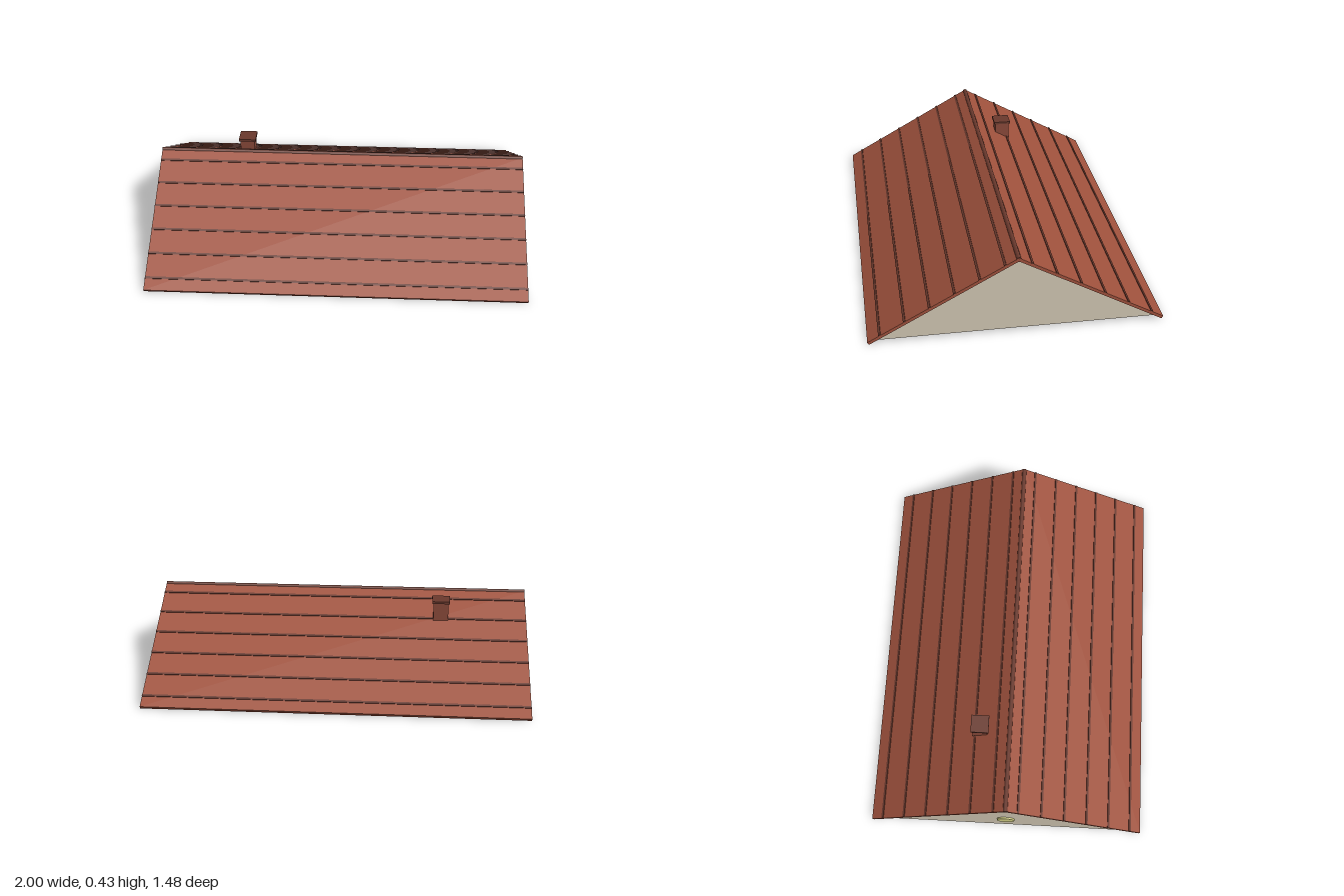
import * as THREE from 'three';

const paint = (color) => new THREE.MeshStandardMaterial({ color });
const tile = paint(0xa0523d);
const trim = paint(0x6b3a2e);
const brick = paint(0x8b4a3a);
const plaster = paint(0xd2c8b4);
const glass = paint(0xd9d58a);

const RIDGE_Y = 0.42, EAVE_Y = 0.007, EAVE_Z = 0.736, THICK = 0.016;
const PITCH = Math.atan2(RIDGE_Y - EAVE_Y, EAVE_Z);
const SLOPE = Math.hypot(RIDGE_Y - EAVE_Y, EAVE_Z);

function add(parent, name, geometry, material, x, y, z) {
  const mesh = new THREE.Mesh(geometry, material);
  mesh.name = name;
  mesh.position.set(x, y, z);
  parent.add(mesh);
  return mesh;
}

// One tilted roof slab with six raised tile courses; side is +1 front, -1 back
function roofSlope(side) {
  const slope = new THREE.Group();
  slope.name = side > 0 ? 'frontSlope' : 'backSlope';
  slope.position.y = RIDGE_Y;
  slope.rotation.x = side * PITCH;
  add(slope, 'roofSlab', new THREE.BoxGeometry(2, THICK, SLOPE), tile, 0, 0, side * SLOPE / 2);
  const course = new THREE.BoxGeometry(2, 0.008, 0.012);
  for (let i = 0; i < 6; i++) {
    add(slope, 'tileCourse', course, trim, 0, THICK / 2, side * SLOPE * (i + 0.5) / 6);
  }
  return slope;
}

export function createModel() {
  const roof = new THREE.Group();
  roof.name = 'gableRoof';
  roof.add(roofSlope(1), roofSlope(-1));

  // Ridge cap along the top
  const ridge = new THREE.CylinderGeometry(0.013, 0.013, 2, 8).rotateZ(Math.PI / 2);
  add(roof, 'ridgeCap', ridge, trim, 0, RIDGE_Y, 0);

  // Triangular end walls
  const triangle = new THREE.Shape([
    new THREE.Vector2(-0.715, 0.018),
    new THREE.Vector2(0.715, 0.018),
    new THREE.Vector2(0, RIDGE_Y),
  ]);
  const wall = new THREE.ExtrudeGeometry(triangle, { depth: 0.02, bevelEnabled: false });
  wall.translate(0, 0, -0.01).rotateY(Math.PI / 2);
  for (const side of [1, -1]) {
    add(roof, side > 0 ? 'leftGable' : 'rightGable', wall, plaster, side * 0.98, 0, 0);
  }

  // Round attic window on one gable
  const pane = new THREE.CylinderGeometry(0.047, 0.047, 0.016, 24).rotateZ(Math.PI / 2);
  add(roof, 'atticWindow', pane, glass, -0.991, 0.172, 0);

  // Chimney passing through the back slope
  const chimney = new THREE.Group();
  chimney.name = 'chimney';
  chimney.position.set(-0.54, 0, -0.16);
  add(chimney, 'chimneyStack', new THREE.BoxGeometry(0.08, 0.19, 0.08), brick, 0, 0.32, 0);
  add(chimney, 'chimneyCap', new THREE.BoxGeometry(0.095, 0.013, 0.095), trim, 0, 0.421, 0);
  roof.add(chimney);

  return roof;
}
